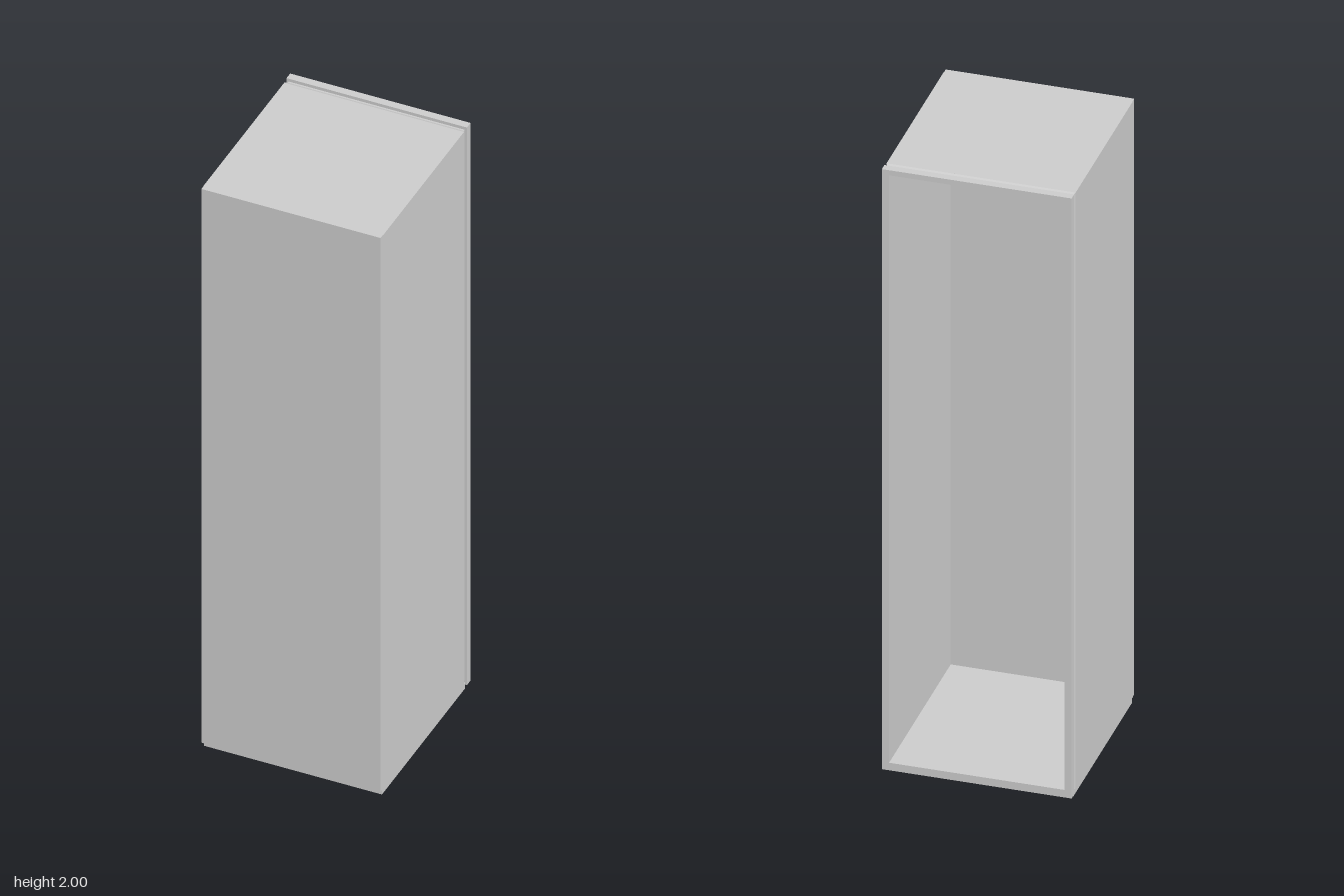
import * as THREE from 'three';

const material = new THREE.MeshStandardMaterial({ color: 0xcccccc, flatShading: true });

// Inner opening shared by every ring of the cabinet
const INNER = { x: 0.264, y0: 0.035, y1: 1.983 };

function rectangle(Type, x, y0, y1) {
  const r = new Type();
  r.moveTo(-x, y0);
  r.lineTo(x, y0);
  r.lineTo(x, y1);
  r.lineTo(-x, y1);
  r.closePath();
  return r;
}

function addMesh(group, name, geometry) {
  const mesh = new THREE.Mesh(geometry, material);
  mesh.name = name;
  group.add(mesh);
}

// Rectangular ring from z0 to z1; the outer edge is pulled in by taper at z0
function ring(x, y0, y1, z0, z1, taper = 0) {
  const shape = rectangle(THREE.Shape, x, y0, y1);
  shape.holes.push(rectangle(THREE.Path, INNER.x, INNER.y0, INNER.y1));
  const geometry = new THREE.ExtrudeGeometry(shape, { depth: z1 - z0, bevelEnabled: false });
  geometry.translate(0, 0, z0);
  if (taper) {
    const p = geometry.attributes.position;
    for (let i = 0; i < p.count; i++) {
      const px = p.getX(i), py = p.getY(i);
      if (p.getZ(i) > z0 + 1e-4) continue;
      if (Math.abs(px) > x - 1e-4) p.setX(i, px - Math.sign(px) * taper);
      if (py < y0 + 1e-4) p.setY(i, py + taper);
      if (py > y1 - 1e-4) p.setY(i, py - taper);
    }
    geometry.computeVertexNormals();
  }
  return geometry;
}

function box(x, y0, y1, z0, z1) {
  const geometry = new THREE.BoxGeometry(2 * x, y1 - y0, z1 - z0);
  geometry.translate(0, (y0 + y1) / 2, (z0 + z1) / 2);
  return geometry;
}

export function createModel() {
  const model = new THREE.Group();
  model.name = 'openCabinet';

  // Hollow body, closed at the front and open at the back
  addMesh(model, 'cabinetWalls', ring(0.285, 0.02, 1.996, -0.263, 0.29));
  addMesh(model, 'frontPanel', box(0.284, 0.02, 1.996, 0.29, 0.306));

  // Chamfered rear lip and the recessed seal behind it
  addMesh(model, 'rearLip', ring(0.285, 0.02, 1.996, -0.274, -0.263, 0.005));
  addMesh(model, 'seal', ring(0.279, 0.026, 1.99, -0.281, -0.274));

  // Door frame around the opening
  addMesh(model, 'doorFrame', ring(0.286, 0.01, 2, -0.306, -0.281));

  // Slightly inset base plate
  addMesh(model, 'basePlate', box(0.282, 0, 0.02, -0.278, 0.292));

  return model;
}
